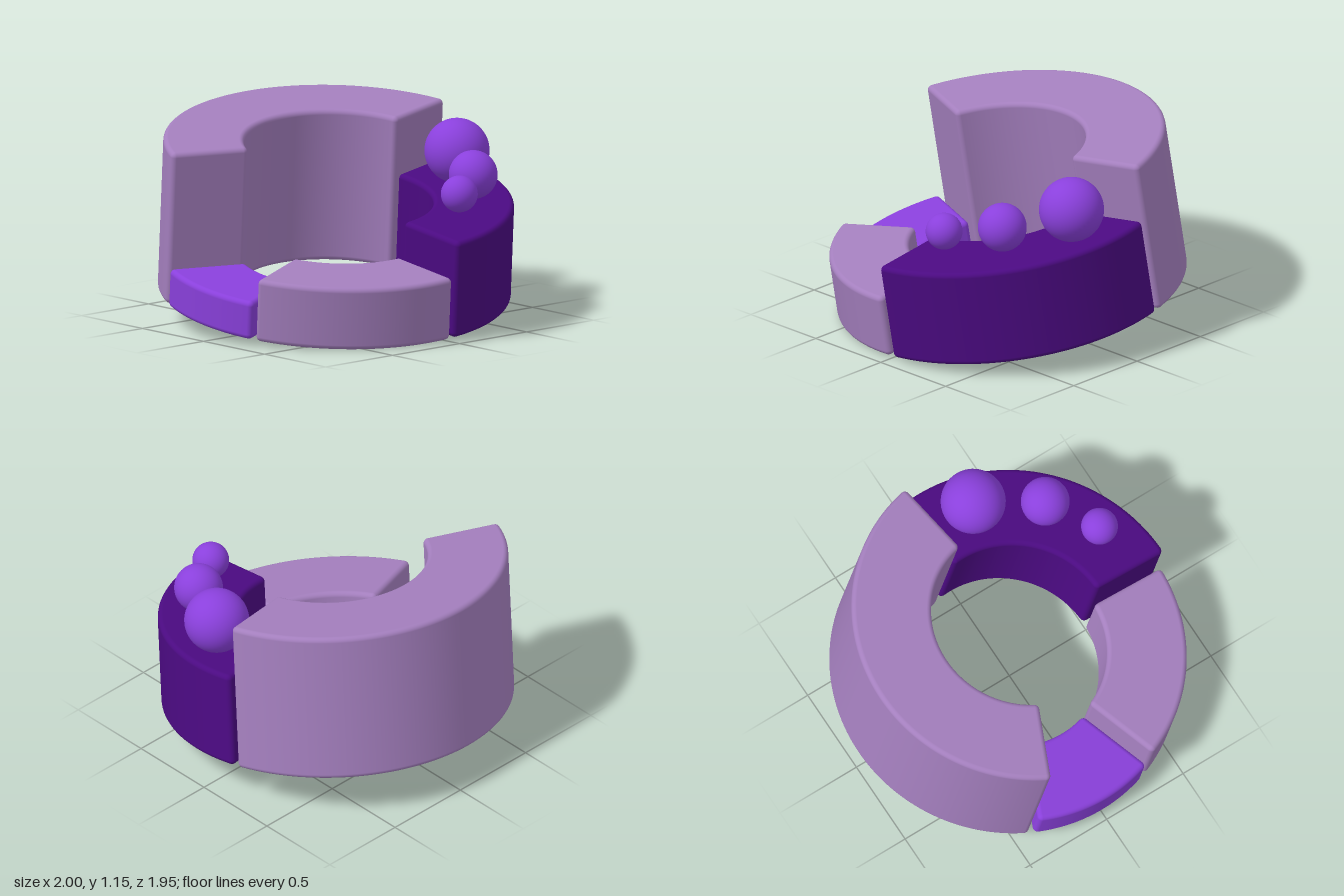
import * as THREE from 'three';

const R_OUT = 0.974, R_IN = 0.528; // ring radii
const BEVEL = 0.028, GAP = 0.012;  // edge rounding, half gap between segments
const ARC = 64, FAN = 5, ROUND = 5;

const flat = (name, color) => {
  const m = new THREE.MeshStandardMaterial({ color });
  m.name = name;
  return m;
};

// Ring sector with every edge rounded; angles run from +x towards +z
function sectorGeometry(startDeg, endDeg, height) {
  const a0 = THREE.MathUtils.degToRad(startDeg), a1 = THREE.MathUtils.degToRad(endDeg);
  const ro = R_OUT - BEVEL, ri = R_IN + BEVEL;
  const insetO = Math.asin((GAP + BEVEL) / ro), insetI = Math.asin((GAP + BEVEL) / ri);
  const o0 = a0 + insetO, o1 = a1 - insetO, i0 = a0 + insetI, i1 = a1 - insetI;

  // Outline: core point (radius, angle) plus outward normal angle
  const outline = [];
  const run = (n, r, from, to, nFrom, nTo) => {
    for (let i = 0; i <= n; i++) {
      const t = i / n, a = from + (to - from) * t, na = nFrom + (nTo - nFrom) * t;
      outline.push([r * Math.cos(a), r * Math.sin(a), Math.cos(na), Math.sin(na)]);
    }
  };
  const P = Math.PI;
  run(ARC, ro, o0, o1, o0, o1);
  run(FAN, ro, o1, o1, o1, a1 + P / 2);
  run(FAN, ri, i1, i1, a1 + P / 2, i1 + P);
  const innerStart = outline.length;
  run(ARC, ri, i1, i0, i1 + P, i0 + P);
  run(FAN, ri, i0, i0, i0 + P, a0 + 1.5 * P);
  run(FAN, ro, o0, o0, a0 + 1.5 * P, o0 + 2 * P);

  // Stack the outline in layers: rounded bottom edge, wall, rounded top edge
  const layers = [];
  for (let i = 0; i <= ROUND; i++) layers.push([-P / 2 + (P / 2) * i / ROUND, BEVEL]);
  for (let i = 0; i <= ROUND; i++) layers.push([(P / 2) * i / ROUND, height - BEVEL]);
  const pos = [], nor = [], idx = [], M = outline.length;
  for (const [phi, y] of layers) {
    const c = Math.cos(phi), s = Math.sin(phi);
    for (const [x, z, nx, nz] of outline) {
      pos.push(x + nx * c * BEVEL, y + s * BEVEL, z + nz * c * BEVEL);
      nor.push(nx * c, s, nz * c);
    }
  }
  for (let l = 0; l < layers.length - 1; l++) {
    for (let j = 0; j < M; j++) {
      const a = l * M + j, b = l * M + (j + 1) % M;
      idx.push(a, a + M, b, b, a + M, b + M);
    }
  }
  // Flat top and bottom, as strips between the two arcs
  const top = (layers.length - 1) * M;
  for (let i = 0; i < ARC; i++) {
    const oa = i, ob = i + 1, ia = innerStart + ARC - i, ib = ia - 1;
    idx.push(top + ia, top + ib, top + oa, top + ib, top + ob, top + oa);
    idx.push(ia, oa, ib, ib, oa, ob);
  }
  const g = new THREE.BufferGeometry();
  g.setAttribute('position', new THREE.Float32BufferAttribute(pos, 3));
  g.setAttribute('normal', new THREE.Float32BufferAttribute(nor, 3));
  g.setIndex(idx);
  return g;
}

export function createModel() {
  const model = new THREE.Group();
  model.name = 'ringChart';
  const lilac = flat('lilac', 0xa47fbe);
  const violet = flat('violet', 0x8a40dc);
  const indigo = flat('indigo', 0x4b0a82);

  // Tilted ring of four segments
  const ring = new THREE.Group();
  ring.name = 'ring';
  const axis = new THREE.Vector3(0.13, 1, 0.07).normalize();
  ring.quaternion.setFromUnitVectors(new THREE.Vector3(0, 1, 0), axis);
  ring.position.set(-0.035, 0.14, -0.007);
  model.add(ring);

  for (const [name, start, end, height, mat] of [
    ['lowSegment', 0, 69.7, 0.36, lilac],
    ['smallSegment', 69.7, 113.5, 0.22, violet],
    ['tallSegment', 113.5, 259.5, 0.88, lilac],
    ['darkSegment', 259.5, 360, 0.56, indigo],
  ]) {
    const mesh = new THREE.Mesh(sectorGeometry(start, end, height), mat);
    mesh.name = name;
    ring.add(mesh);
  }

  // Three balls resting on the dark segment
  for (const [name, r, x, y, z] of [
    ['largeBall', 0.18, 0.21, 0.882, -0.7],
    ['mediumBall', 0.135, 0.557, 0.822, -0.505],
    ['smallBall', 0.102, 0.74, 0.775, -0.235],
  ]) {
    const ball = new THREE.Mesh(new THREE.SphereGeometry(r, 48, 32), violet);
    ball.name = name;
    ball.position.set(x, y, z);
    model.add(ball);
  }
  return model;
}
